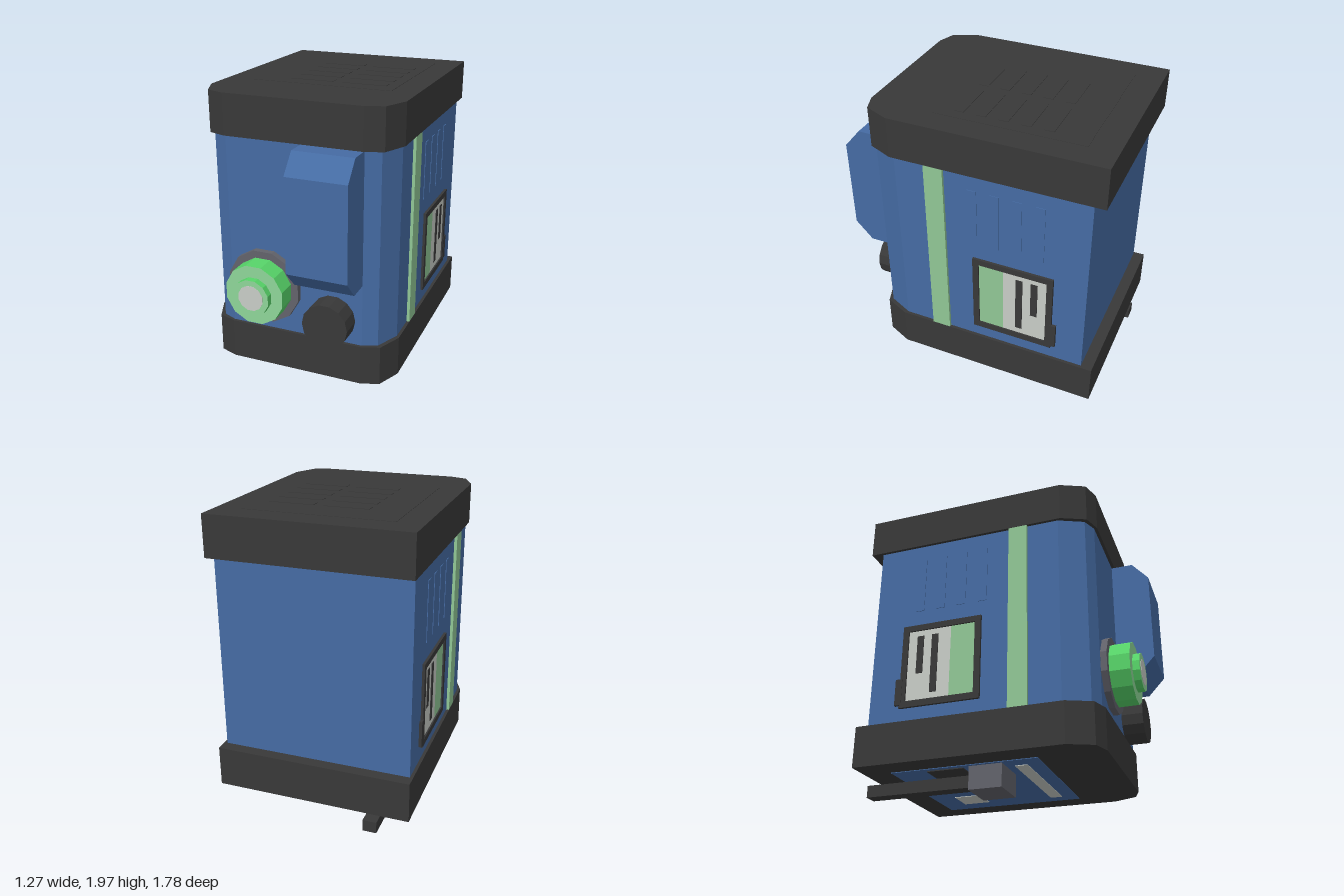
import * as THREE from 'three';

const paint = (name, hex) => {
  const m = new THREE.MeshStandardMaterial({ color: hex });
  m.name = name;
  return m;
};

export function createModel() {
  const blue = paint('blue', 0x456ba3);
  const dark = paint('charcoal', 0x383838);
  const gray = paint('steel gray', 0x62636b);
  const light = paint('light gray', 0xc8ccc6);
  const pale = paint('pale green', 0x90c695);
  const bright = paint('bright green', 0x57d469);
  const mint = paint('mint green', 0x8ed698);

  const model = new THREE.Group();
  model.name = 'backpackUnit';

  const add = (name, geometry, material, parent = model) => {
    const mesh = new THREE.Mesh(geometry, material);
    mesh.name = name;
    parent.add(mesh);
    return mesh;
  };
  // box given by its limits on each axis
  const box = (name, material, [x0, x1], [y0, y1], [z0, z1], parent) => {
    const g = new THREE.BoxGeometry(Math.abs(x1 - x0), y1 - y0, z1 - z0);
    g.translate((x0 + x1) / 2, (y0 + y1) / 2, (z0 + z1) / 2);
    return add(name, g, material, parent);
  };
  // upright prism from half of a floor plan, mirrored in x
  const prism = (name, material, half, y0, y1) => {
    const points = [...half, ...half.map(([x, z]) => [-x, z]).reverse()];
    const shape = new THREE.Shape(points.map(([x, z]) => new THREE.Vector2(x, z)));
    const g = new THREE.ExtrudeGeometry(shape, { depth: y1 - y0, bevelEnabled: false });
    g.rotateX(Math.PI / 2).translate(0, y1, 0);
    return add(name, g, material);
  };
  // faceted disc facing the front
  const disc = (name, material, x, y, r, z0, z1, sides) => {
    let g = new THREE.CylinderGeometry(r, r, z1 - z0, sides, 1, false, Math.PI / sides);
    g.rotateX(Math.PI / 2).translate(x, y, (z0 + z1) / 2);
    g = g.toNonIndexed();
    g.computeVertexNormals();
    return add(name, g, material);
  };

  // main housing with top and bottom caps
  const capPlan = [[0.635, -0.89], [0.635, 0.46], [0.565, 0.62], [0.45, 0.66]];
  const bodyPlan = [[0.615, -0.815], [0.615, 0.44], [0.543, 0.6], [0.45, 0.64]];
  prism('body', blue, bodyPlan, 0.43, 1.705);
  prism('baseCap', dark, capPlan, 0.17, 0.435);
  prism('topCap', dark, capPlan, 1.7, 1.963);

  // top hatch with two columns of vents
  box('topHatch', dark, [-0.47, 0.47], [1.96, 1.965], [-0.71, 0.245]);
  for (let i = 0; i < 5; i++) {
    const z = -0.49 + i * 0.141;
    for (const x of [[-0.24, 0.045], [0.11, 0.4]]) {
      box('topVent', dark, x, [1.962, 1.968], [z, z + 0.06]);
    }
  }

  // chamfered pod on the front
  const podProfile = [[0.6, 0.85], [0.78, 0.85], [0.893, 0.97], [0.893, 1.575], [0.785, 1.7], [0.6, 1.7]];
  const podShape = new THREE.Shape(podProfile.map(([z, y]) => new THREE.Vector2(z, y)));
  const pod = new THREE.ExtrudeGeometry(podShape, { depth: 0.39, bevelEnabled: false });
  pod.rotateY(-Math.PI / 2).translate(0.45, 0, 0);
  add('frontPod', pod, blue);

  // stepped green dial and small dark knob
  disc('dialRing', gray, -0.205, 0.74, 0.248, 0.6, 0.68, 12);
  disc('dial', [bright, mint, bright], -0.205, 0.74, 0.2, 0.67, 0.81, 12);
  disc('dialStep', [bright, mint, bright], -0.205, 0.74, 0.123, 0.8, 0.855, 12);
  disc('dialCentre', light, -0.205, 0.74, 0.085, 0.852, 0.858, 12);
  disc('frontKnob', dark, 0.255, 0.595, 0.15, 0.6, 0.78, 14);

  // both sides: stripe, louvres and framed window
  for (const s of [1, -1]) {
    const side = new THREE.Group();
    side.name = s > 0 ? 'leftSide' : 'rightSide';
    model.add(side);
    const plate = (name, material, out, y, z) =>
      box(name, material, [s * 0.6, s * out], y, z, side);

    plate('stripe', pale, 0.634, [0.435, 1.7], [0.11, 0.235]);
    for (let i = 0; i < 4; i++) {
      const z = -0.07 - i * 0.145;
      plate('louvre', blue, 0.619, [1.2, 1.59], [z - 0.03, z + 0.03]);
    }
    plate('frameTop', dark, 0.632, [1.05, 1.09], [-0.605, -0.07]);
    plate('frameBottom', dark, 0.632, [0.525, 0.567], [-0.605, -0.07]);
    plate('frameFront', dark, 0.632, [0.567, 1.05], [-0.11, -0.07]);
    plate('frameBack', dark, 0.632, [0.567, 1.05], [-0.605, -0.565]);
    plate('latch', dark, 0.634, [0.545, 0.72], [-0.635, -0.59]);
    plate('windowGreen', pale, 0.622, [0.567, 1.05], [-0.275, -0.11]);
    plate('windowLight', light, 0.622, [0.567, 1.05], [-0.565, -0.275]);
    plate('longSlot', dark, 0.626, [0.61, 1.01], [-0.405, -0.36]);
    plate('shortSlot', dark, 0.626, [0.75, 1.01], [-0.505, -0.46]);
  }

  // underside panel with fittings
  box('bottomPanel', blue, [-0.47, 0.47], [0.166, 0.175], [-0.71, 0.245]);
  box('bottomBar', light, [-0.37, 0.37], [0.162, 0.17], [0.07, 0.15]);
  for (const x of [0.25, -0.035]) {
    box('bottomPad', light, [x - 0.09, x + 0.09], [0.162, 0.17], [-0.55, -0.37]);
  }
  box('bottomSocket', dark, [-0.44, -0.2], [0.16, 0.17], [-0.48, -0.24]);

  // lever under the base
  box('leverBlock', gray, [-0.51, -0.262], [0, 0.145], [-0.172, 0.038]);
  box('leverArm', dark, [-0.43, -0.34], [0.038, 0.114], [-0.89, -0.17]);

  return model;
}
